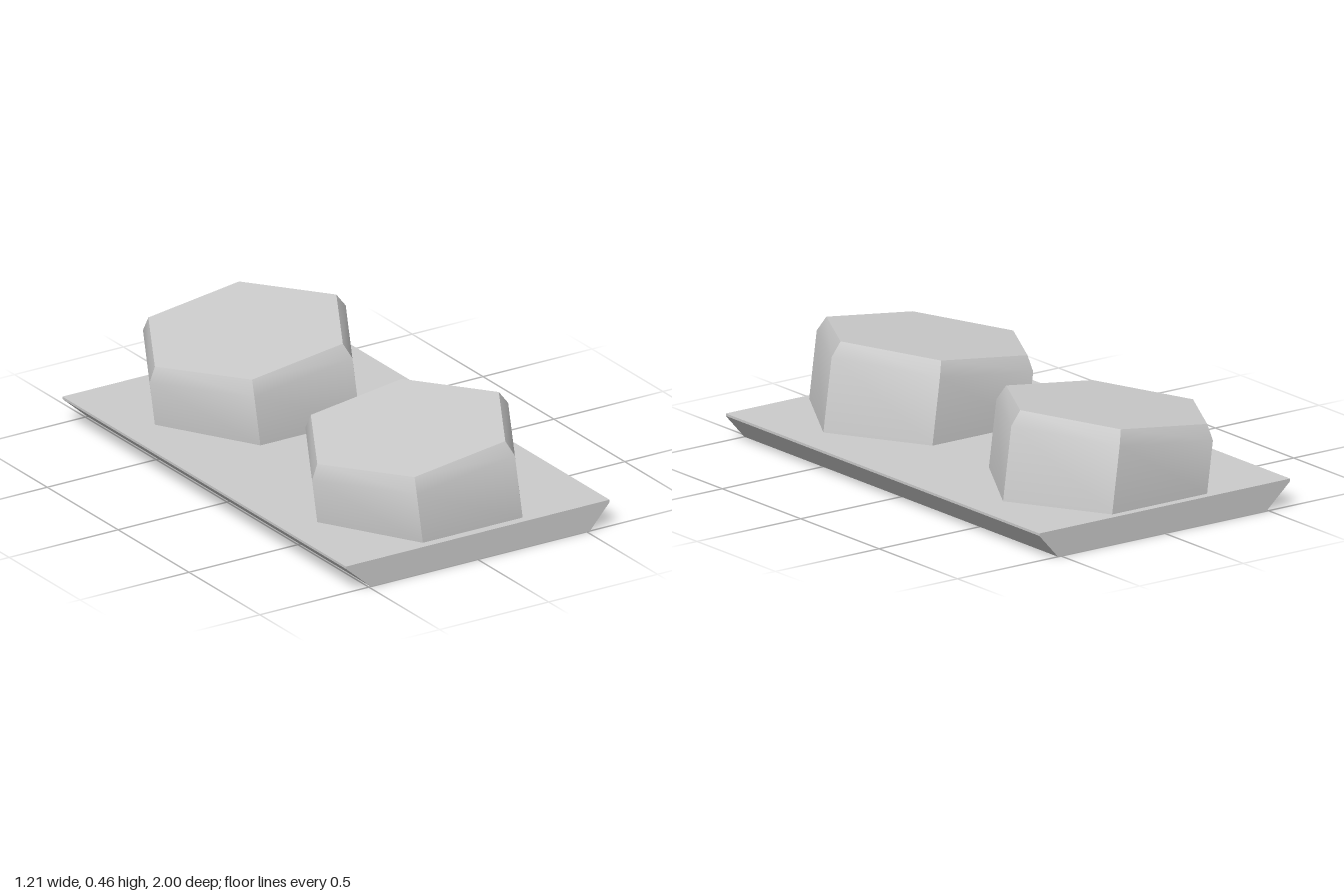
import * as THREE from 'three';
import { toCreasedNormals } from 'three/addons/utils/BufferGeometryUtils.js';

// Leaning hexagonal block: three rings (foot, shoulder, top) joined by quads
function hexBlockGeometry() {
  const rings = [
    { cx: 0, r: 0.458, zr: 0.393, y: 0.11, slope: 0 },
    { cx: -0.032, r: 0.45, zr: 0.393, y: 0.348, slope: 0.128 },
    { cx: -0.0415, r: 0.4165, zr: 0.366, y: 0.407, slope: 0.13 },
  ];
  const point = (ring, i) => {
    const a = (i % 6) * Math.PI / 3;
    const dx = Math.cos(a) * ring.r;
    const dz = Math.sin(a) / Math.sin(Math.PI / 3) * ring.zr;
    return [ring.cx + dx, ring.y + dx * ring.slope, dz];
  };
  const pos = [];
  const tri = (a, b, c) => pos.push(...a, ...b, ...c);
  const top = rings[2];
  for (let i = 0; i < 6; i++) {
    // walls and bevel
    for (let k = 0; k < 2; k++) {
      const a = point(rings[k], i), b = point(rings[k], i + 1);
      const c = point(rings[k + 1], i + 1), d = point(rings[k + 1], i);
      tri(a, d, c);
      tri(a, c, b);
    }
    // sloping top and flat underside
    tri([top.cx, top.y, 0], point(top, i + 1), point(top, i));
    tri([0, 0.11, 0], point(rings[0], i), point(rings[0], i + 1));
  }
  const geometry = new THREE.BufferGeometry();
  geometry.setAttribute('position', new THREE.Float32BufferAttribute(pos, 3));
  return toCreasedNormals(geometry, THREE.MathUtils.degToRad(35));
}

export function createModel() {
  const model = new THREE.Group();
  model.name = 'hexBlockPlate';
  const grey = new THREE.MeshStandardMaterial({ color: 0xcccccc });
  grey.name = 'light grey';

  // Base plate with undercut long sides and a thin lip
  const profile = new THREE.Shape([
    [-0.49, 0], [0.515, 0], [0.605, 0.1], [0.605, 0.11], [-0.605, 0.11], [-0.605, 0.1],
  ].map(([x, y]) => new THREE.Vector2(x, y)));
  const plate = new THREE.ExtrudeGeometry(profile, { depth: 2, bevelEnabled: false });
  plate.translate(0, 0, -1);
  const base = new THREE.Mesh(plate, grey);
  base.name = 'basePlate';
  model.add(base);

  // Two identical blocks, front and back
  const block = hexBlockGeometry();
  for (const [name, z] of [['frontHexBlock', 0.572], ['backHexBlock', -0.574]]) {
    const mesh = new THREE.Mesh(block, grey);
    mesh.name = name;
    mesh.position.z = z;
    model.add(mesh);
  }
  return model;
}
